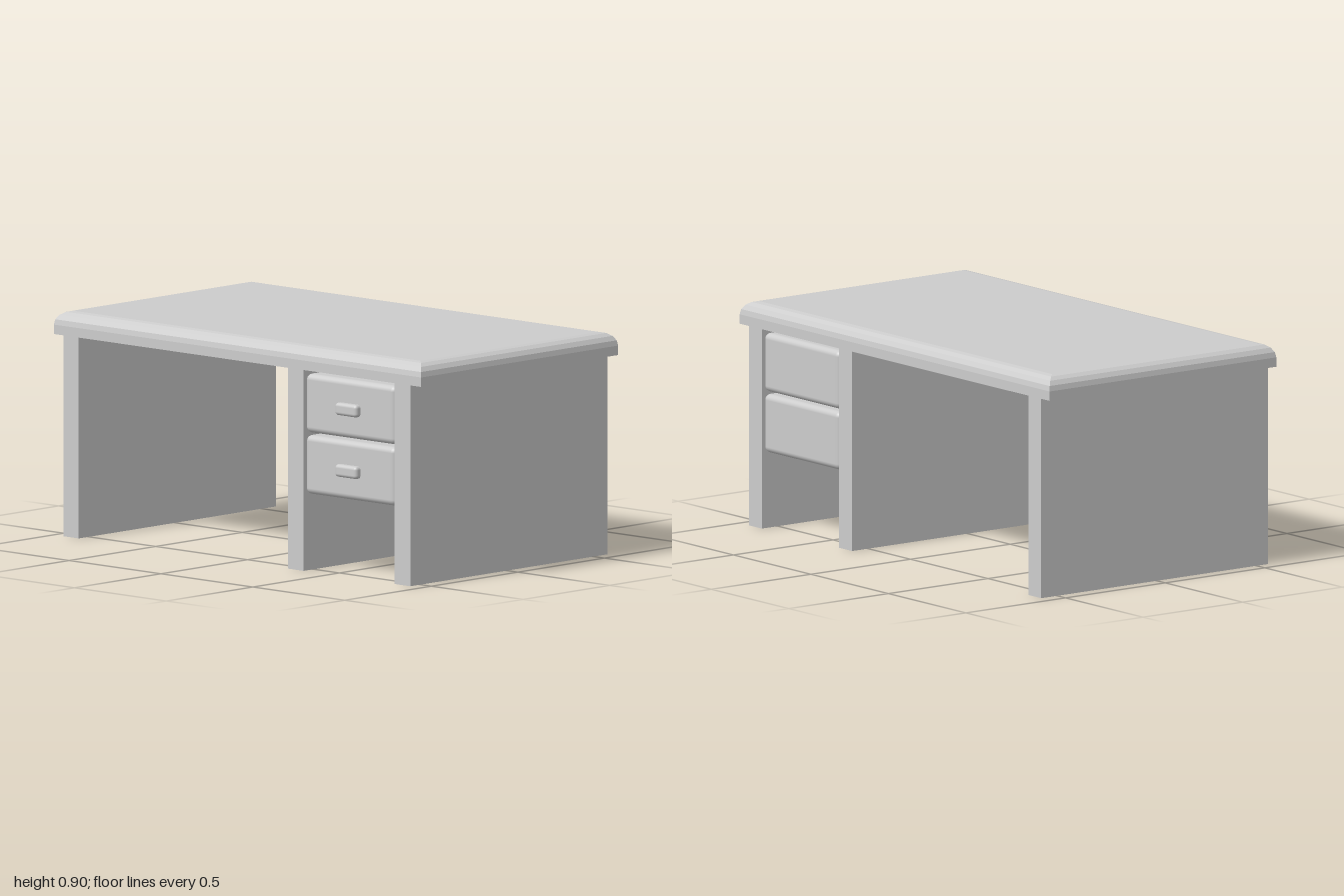
import * as THREE from 'three';
import { RoundedBoxGeometry } from 'three/addons/geometries/RoundedBoxGeometry.js';

const Z_BACK = -0.58, Z_FRONT = 0.558;

// Slab with rounded, mitred upper edges, built from stacked rectangles
function slabGeometry(halfX, z0, z1, y0, y1, r, steps) {
  const rings = [[0, y0]];
  for (let i = 0; i <= steps; i++) {
    const a = (i / steps) * Math.PI / 2;
    rings.push([r * (1 - Math.cos(a)), y1 - r + r * Math.sin(a)]);
  }
  const pos = [], index = [];
  for (const [d, y] of rings) {
    pos.push(-halfX + d, y, z1 - d, halfX - d, y, z1 - d,
      halfX - d, y, z0 + d, -halfX + d, y, z0 + d);
  }
  for (let k = 0; k < rings.length - 1; k++) {
    for (let j = 0; j < 4; j++) {
      const a = k * 4 + j, b = k * 4 + (j + 1) % 4;
      index.push(a, b, b + 4, a, b + 4, a + 4);
    }
  }
  const t = (rings.length - 1) * 4;
  index.push(t, t + 1, t + 2, t, t + 2, t + 3, 0, 2, 1, 0, 3, 2);
  const g = new THREE.BufferGeometry();
  g.setAttribute('position', new THREE.Float32BufferAttribute(pos, 3));
  g.setIndex(index);
  const flat = g.toNonIndexed();
  flat.computeVertexNormals();
  return flat;
}

export function createModel() {
  const desk = new THREE.Group();
  desk.name = 'desk';
  const grey = new THREE.MeshStandardMaterial({ color: 0xcccccc });
  grey.name = 'light grey';

  const add = (name, geometry, x = 0, y = 0, z = 0) => {
    const mesh = new THREE.Mesh(geometry, grey);
    mesh.name = name;
    mesh.position.set(x, y, z);
    desk.add(mesh);
  };

  // Table top
  add('tableTop', slabGeometry(1, Z_BACK, Z_FRONT, 0.805, 0.898, 0.055, 4));

  // Full-depth upright panels
  const depth = Z_FRONT - Z_BACK, midZ = (Z_FRONT + Z_BACK) / 2;
  const panels = { rightPanel: [-0.946, -0.864], middlePanel: [0.274, 0.36], leftPanel: [0.856, 0.941] };
  for (const [name, [x0, x1]] of Object.entries(panels)) {
    add(name, new THREE.BoxGeometry(x1 - x0, 0.805, depth), (x0 + x1) / 2, 0.4025, midZ);
  }

  // Two drawers running through the pedestal, each with a small handle
  [['upper', 0.673, 0.672], ['lower', 0.427, 0.425]].forEach(([label, y, handleY]) => {
    add(label + 'Drawer', new RoundedBoxGeometry(0.492, 0.236, depth - 0.006, 3, 0.024), 0.608, y, midZ);
    add(label + 'Handle', new RoundedBoxGeometry(0.12, 0.05, 0.06, 3, 0.014), 0.606, handleY, 0.55);
  });

  return desk;
}
